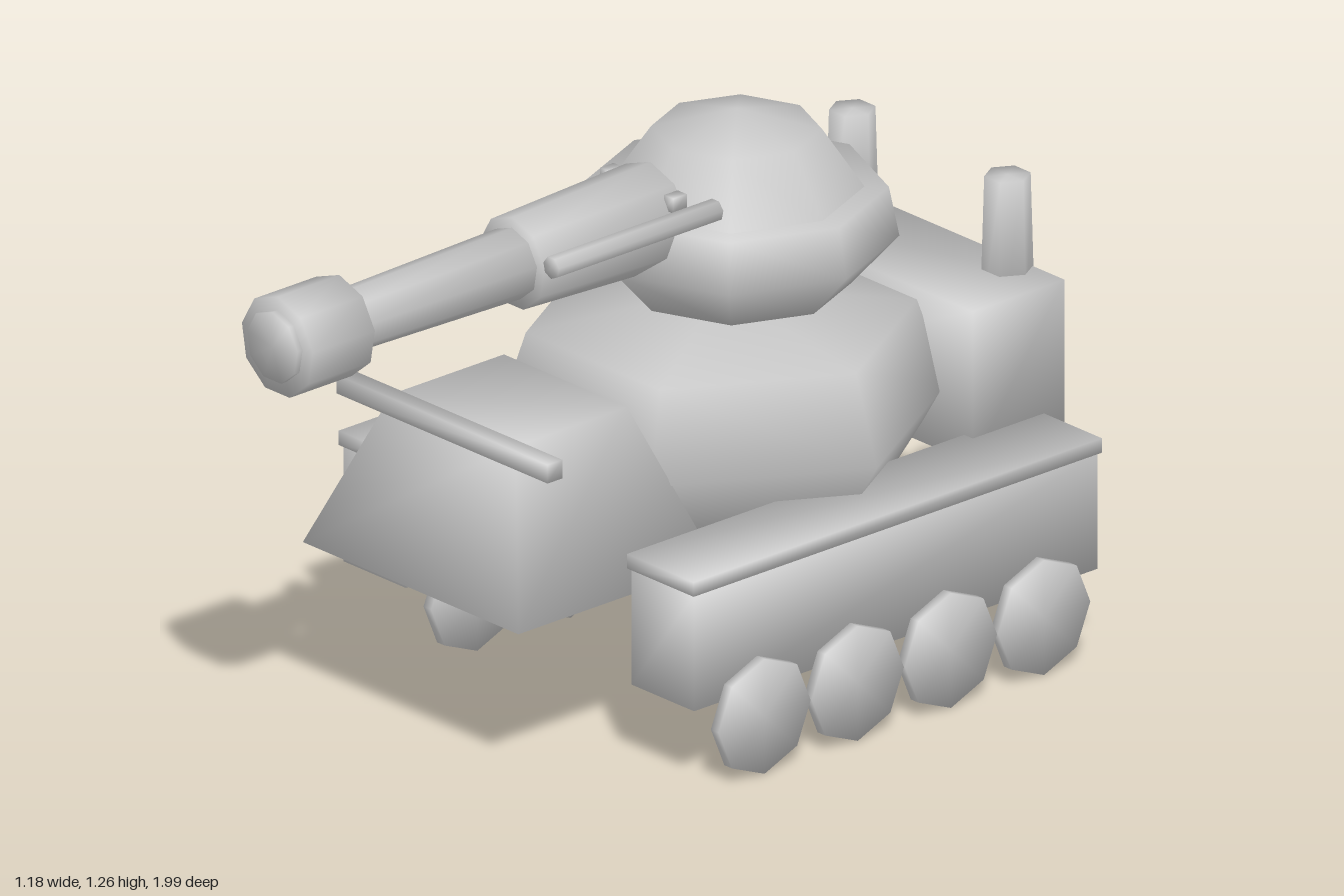
import * as THREE from 'three';
import { mergeVertices } from 'three/addons/utils/BufferGeometryUtils.js';

const CX = -0.015; // centre line of hull and turret

// Weld all corners and average the face normals by corner angle,
// so shading runs smoothly over the low-poly forms
function smooth(geo) {
  geo.deleteAttribute('normal');
  geo.deleteAttribute('uv');
  const g = mergeVertices(geo, 1e-4);
  const pos = g.attributes.position;
  const sums = Array.from({ length: pos.count }, () => new THREE.Vector3());
  const tri = new THREE.Triangle();
  const n = new THREE.Vector3(), u = new THREE.Vector3(), v = new THREE.Vector3();
  for (let i = 0; i < g.index.count; i += 3) {
    const ids = [0, 1, 2].map((k) => g.index.getX(i + k));
    if (new Set(ids).size < 3) continue;
    tri.setFromAttributeAndIndices(pos, ...ids);
    tri.getNormal(n);
    const corners = [tri.a, tri.b, tri.c];
    for (let k = 0; k < 3; k++) {
      u.subVectors(corners[(k + 1) % 3], corners[k]);
      v.subVectors(corners[(k + 2) % 3], corners[k]);
      sums[ids[k]].addScaledVector(n, u.angleTo(v));
    }
  }
  const normals = sums.flatMap((s) => s.normalize().toArray());
  g.setAttribute('normal', new THREE.Float32BufferAttribute(normals, 3));
  return g;
}

export function createModel() {
  const model = new THREE.Group();
  model.name = 'tank';
  const grey = new THREE.MeshStandardMaterial({ color: 0xc6c6c6 });
  grey.name = 'plain grey';

  function add(name, geo, x, y, z, parent = model) {
    const mesh = new THREE.Mesh(smooth(geo), grey);
    mesh.name = name;
    mesh.position.set(x, y, z);
    parent.add(mesh);
  }
  const lathe = (pts, sides) =>
    new THREE.LatheGeometry(pts.map(([r, y]) => new THREE.Vector2(r, y)), sides);
  // Lathe lying along z, with a corner at the top
  const latheZ = (pts, sides) => lathe(pts, sides).rotateY(Math.PI).rotateX(Math.PI / 2);

  // Tracks with their top plates and wheels
  for (const [side, x, wheelX] of [['left', 0.453, 0.573], ['right', -0.483, -0.36]]) {
    const group = new THREE.Group();
    group.name = side + 'Track';
    model.add(group);
    add('trackHousing', new THREE.BoxGeometry(0.203, 0.275, 1.19), x, 0.328, -0.327, group);
    add('trackPlate', new THREE.BoxGeometry(0.217, 0.034, 1.205), x, 0.483, -0.327, group);
    for (let i = 0; i < 4; i++) {
      const wheel = new THREE.CylinderGeometry(0.136, 0.136, 0.025, 8).rotateZ(Math.PI / 2);
      add('wheel', wheel, wheelX, 0.137, 0.088 - i * 0.275, group);
    }
  }

  // Six-sided hull
  add('hull', lathe([[0, 0.37], [0.385, 0.39], [0.505, 0.577], [0.437, 0.78], [0, 0.85]], 6)
    .rotateY(Math.PI / 6), CX, 0, -0.33);

  // Sloped nose: a box narrowed towards the top
  const nose = new THREE.BoxGeometry(1, 1, 1);
  const p = nose.attributes.position;
  for (let i = 0; i < p.count; i++) {
    const top = p.getY(i) > 0;
    const front = p.getZ(i) > 0;
    p.setXYZ(i, p.getX(i) * (top ? 0.4 : 0.7), top ? 0.757 : 0.395,
      front ? (top ? 0.46 : 0.587) : (top ? 0.13 : 0.0));
  }
  add('nose', nose, CX, 0, 0);
  add('noseBar', new THREE.BoxGeometry(0.685, 0.044, 0.044), -0.014, 0.746, 0.473);

  // Engine box and exhausts
  add('engineBox', new THREE.BoxGeometry(0.775, 0.36, 0.27), CX, 0.62, -0.855);
  for (const s of [-1, 1]) {
    add('exhaust', new THREE.CylinderGeometry(0.052, 0.063, 0.39, 6).rotateY(Math.PI / 6),
      CX + s * 0.252, 0.825, -0.945);
  }

  // Turret
  const turret = new THREE.Group();
  turret.name = 'turret';
  model.add(turret);
  add('turretBase', lathe([[0, 0.85], [0.25, 0.85], [0.356, 0.965], [0.333, 1.08], [0, 1.08]], 8),
    CX, 0, -0.375, turret);
  add('turretDome', lathe([[0.283, 1.075], [0.187, 1.214], [0, 1.26]], 8),
    CX, 0, -0.375, turret);

  // Main gun
  const gun = new THREE.Group();
  gun.name = 'mainGun';
  gun.position.set(CX, 1.082, 0);
  model.add(gun);
  add('gunSleeve', latheZ([[0, -0.17], [0.123, -0.12], [0.107, 0.288], [0, 0.288]], 9), 0, 0, 0, gun);
  add('barrel', latheZ([[0, 0.25], [0.083, 0.27], [0.071, 0.82], [0, 0.82]], 9), 0, 0, 0, gun);
  add('muzzle', latheZ([[0, 0.797], [0.117, 0.797], [0.117, 0.98], [0, 0.98]], 9), 0, -0.002, 0, gun);
  add('muzzleBore', latheZ([[0, 0.96], [0.083, 0.96], [0.083, 0.995], [0, 0.995]], 9),
    0, 0, 0, gun);
  for (const s of [-1, 1]) {
    add('sleevePin', new THREE.BoxGeometry(0.03, 0.035, 0.04), s * 0.104, 0.066, -0.1, gun);
  }

  // Side gun
  add('sideGun', new THREE.CylinderGeometry(0.026, 0.026, 0.485, 7).rotateX(Math.PI / 2),
    0.167, 1.14, 0.095);

  return model;
}
